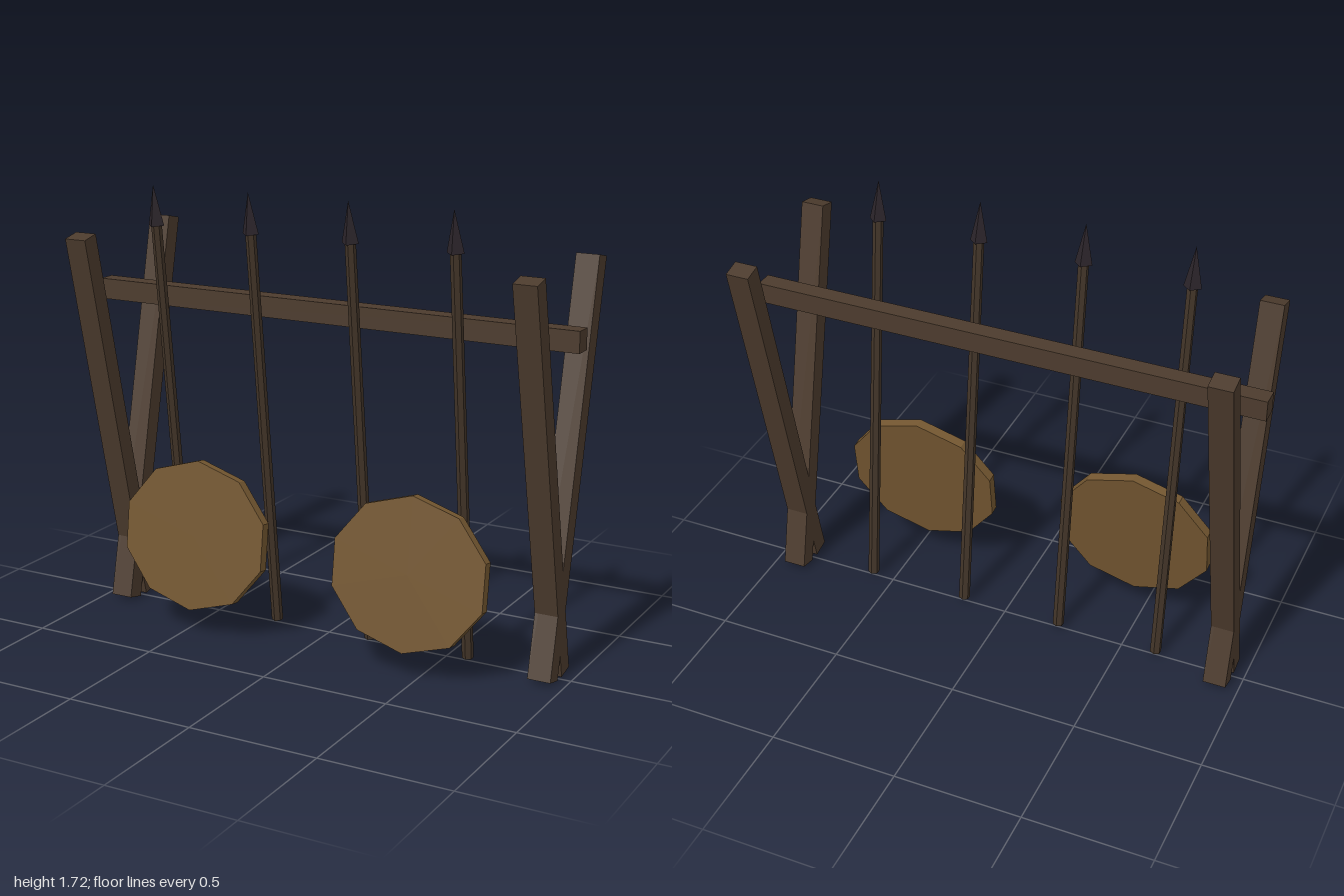
import * as THREE from 'three';

const flat = (name, color) => {
  const m = new THREE.MeshStandardMaterial({ color, flatShading: true });
  m.name = name;
  return m;
};

export function createModel() {
  const wood = flat('dark wood', 0x4c3b2d);
  const shaftWood = flat('shaft wood', 0x423428);
  const iron = flat('dark iron', 0x2b242a);
  const hide = flat('shield hide', 0x735630);

  const rack = new THREE.Group();
  rack.name = 'weaponRack';

  const add = (parent, name, geometry, material, x, y, z, tilt = 0) => {
    const mesh = new THREE.Mesh(geometry, material);
    mesh.name = name;
    mesh.position.set(x, y, z);
    mesh.rotation.x = tilt;
    parent.add(mesh);
    return mesh;
  };

  // Crossed posts at each end
  const post = new THREE.BoxGeometry(0.09, 1.546, 0.072);
  for (const side of [-1, 1]) {
    for (const lean of [-1, 1]) {
      const name = (side > 0 ? 'left' : 'right') + (lean > 0 ? 'FrontPost' : 'BackPost');
      add(rack, name, post, wood, side * 0.91, 0.766, lean * 0.115, lean * 0.222);
    }
  }

  // Horizontal rail
  add(rack, 'rail', new THREE.BoxGeometry(2, 0.08, 0.07), wood, 0, 1.27, 0);

  // Leaning spears: shaft and four-sided head
  const shaftLength = 1.56;
  const headLength = 0.155;
  const shaft = new THREE.CylinderGeometry(0.02, 0.022, shaftLength, 6);
  const head = new THREE.ConeGeometry(0.034, headLength, 4);
  [-0.64, -0.23, 0.18, 0.59].forEach((x, i) => {
    const spear = new THREE.Group();
    spear.name = `spear${i + 1}`;
    spear.position.set(x, 0.018, 0.003);
    spear.rotation.x = 0.11;
    add(spear, 'shaft', shaft, shaftWood, 0, shaftLength / 2, 0);
    add(spear, 'spearHead', head, iron, 0, shaftLength + headLength / 2, 0);
    rack.add(spear);
  });

  // Ten-sided shields, slightly wider than tall, tipped back
  const shield = new THREE.CylinderGeometry(1, 1, 0.041, 10);
  shield.scale(0.318, 1, 0.2916);
  add(rack, 'leftShield', shield, hide, 0.453, 0.392, 0.225, Math.PI / 2 - 0.134);
  add(rack, 'rightShield', shield, hide, -0.457, 0.392, 0.225, Math.PI / 2 - 0.134);

  return rack;
}
